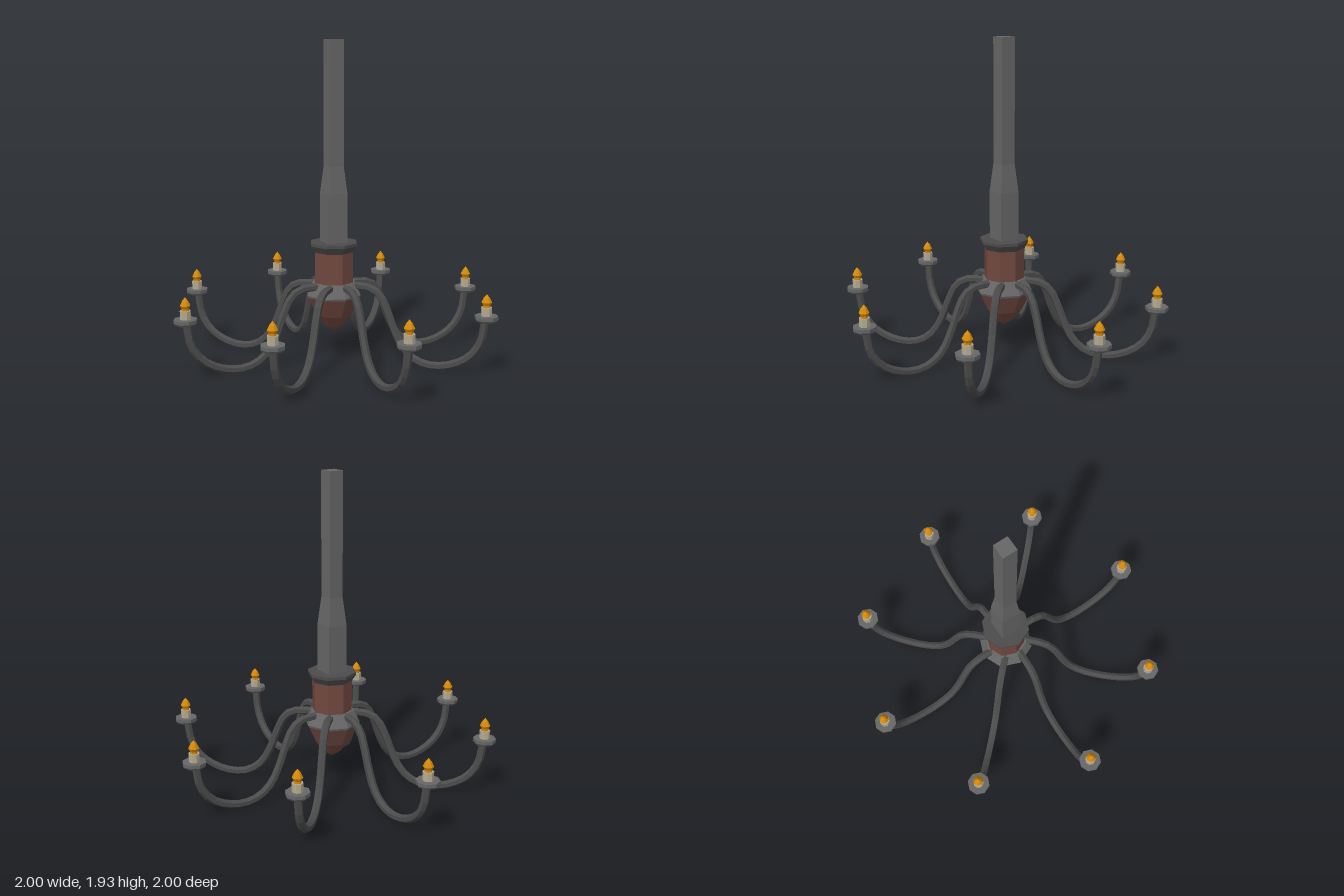
import * as THREE from 'three';

const flat = (color) => new THREE.MeshStandardMaterial({ color, flatShading: true });
const iron = flat(0x666666);
const darkIron = flat(0x4c4c4c);
const wood = flat(0x70483f);
const wax = flat(0xb5aa92);
const fire = flat(0xd68a08);

// Faceted turned part from [radius, height] pairs, listed bottom to top
function turned(name, profile, sides, material) {
  const points = profile.map(([r, y]) => new THREE.Vector2(r, y));
  const mesh = new THREE.Mesh(new THREE.LatheGeometry(points, sides), material);
  mesh.name = name;
  return mesh;
}

// One arm pointing along +z, with its dish, candle and flame
function createArm() {
  const arm = new THREE.Group();
  const path = [
    [0.10, 0.465], [0.21, 0.465], [0.28, 0.43], [0.33, 0.34], [0.38, 0.21], [0.44, 0.105],
    [0.52, 0.045], [0.62, 0.026], [0.74, 0.05], [0.84, 0.11], [0.90, 0.20], [0.925, 0.34],
  ];
  // The root sits slightly off the radial line
  const curve = new THREE.CatmullRomCurve3(
    path.map(([r, y]) => new THREE.Vector3(0.016 * (0.925 - r) / 0.8, y, r)));
  const branch = new THREE.Mesh(new THREE.TubeGeometry(curve, 22, 0.024, 6), darkIron);
  branch.name = 'branch';

  const holder = new THREE.Group();
  holder.name = 'candleHolder';
  holder.position.z = 0.931;
  holder.add(
    turned('dish', [[0, 0.33], [0.06, 0.33], [0.069, 0.342], [0.069, 0.362], [0, 0.362]], 8, iron),
    turned('candle', [[0.032, 0.36], [0.032, 0.412], [0, 0.412]], 8, wax),
    turned('flame', [[0.022, 0.41], [0.022, 0.425], [0.031, 0.442], [0.018, 0.468], [0, 0.49]], 8, fire));
  arm.add(branch, holder);
  return arm;
}

export function createModel() {
  const model = new THREE.Group();
  model.name = 'chandelier';

  // Central body
  const body = new THREE.Group();
  body.name = 'body';
  body.position.z = -0.008;
  body.add(
    turned('finial', [[0, 0.18], [0.055, 0.215], [0.11, 0.285], [0.168, 0.402]], 8, wood),
    turned('hub', [[0.168, 0.40], [0.172, 0.412], [0.135, 0.487], [0, 0.487]], 8, iron),
    turned('barrel', [[0.122, 0.48], [0.122, 0.68]], 8, wood),
    turned('collar', [[0.12, 0.67], [0.148, 0.712], [0.148, 0.73], [0, 0.73]], 8, darkIron));

  // Square hanging post, narrowing partway up; a four-sided lathe turned 45 degrees
  const k = Math.SQRT2;
  const post = turned('post',
    [[0.062 * k, 0.725], [0.062 * k, 1.02], [0.045 * k, 1.19], [0.045 * k, 1.93], [0, 1.93]], 4, iron);
  post.rotation.y = Math.PI / 4;
  body.add(post);
  model.add(body);

  // Eight arms around the hub
  for (let i = 0; i < 8; i++) {
    const arm = createArm();
    arm.name = `arm${i + 1}`;
    arm.rotation.y = (i * Math.PI) / 4;
    model.add(arm);
  }
  return model;
}
